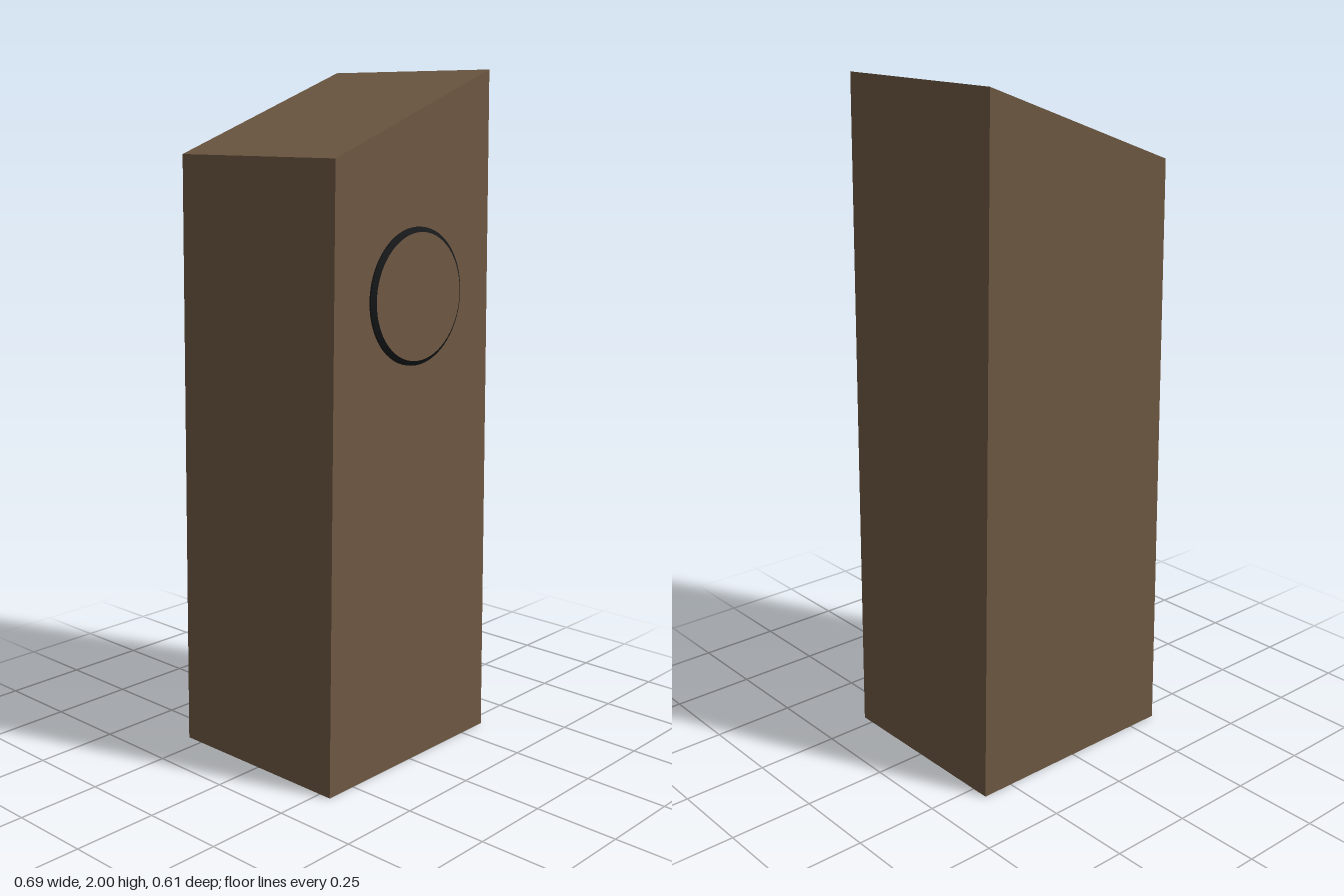
import * as THREE from 'three';

export function createModel() {
  const group = new THREE.Group();
  const wood = new THREE.MeshStandardMaterial({ color: 0x6e5842 });
  wood.name = 'brown wood';
  const black = new THREE.MeshStandardMaterial({ color: 0x16181a });
  black.name = 'black rim';
  const add = (name, geometry, material) => {
    const mesh = new THREE.Mesh(geometry, material);
    mesh.name = name;
    group.add(mesh);
    return mesh;
  };

  // Tapered post with a slanted top
  const back = -0.304, front = 0.289;
  const outline = new THREE.Shape([
    [-0.347, 0], [0.347, 0], [0.32, 2], [-0.322, 1.765],
  ].map(([x, y]) => new THREE.Vector2(x, y)));
  const postGeometry = new THREE.ExtrudeGeometry(outline, { depth: front - back, bevelEnabled: false });
  postGeometry.translate(0, 0, back);
  add('post', postGeometry, wood);

  // Round plate on the front: straight edge, then a chamfer, both black
  const cx = 0.004, cy = 1.38, outer = 0.193, inner = 0.179, segments = 64;
  const rings = [
    ['plateEdge', outer, outer, front, 0.294],
    ['plateChamfer', outer, inner, 0.294, 0.303],
  ];
  for (const [name, r0, r1, z0, z1] of rings) {
    const geometry = new THREE.CylinderGeometry(r1, r0, z1 - z0, segments, 1, true);
    geometry.rotateX(Math.PI / 2);
    add(name, geometry, black).position.set(cx, cy, (z0 + z1) / 2);
  }

  // Wooden face of the plate
  add('plateFace', new THREE.CircleGeometry(inner, segments), wood).position.set(cx, cy, 0.303);

  return group;
}
